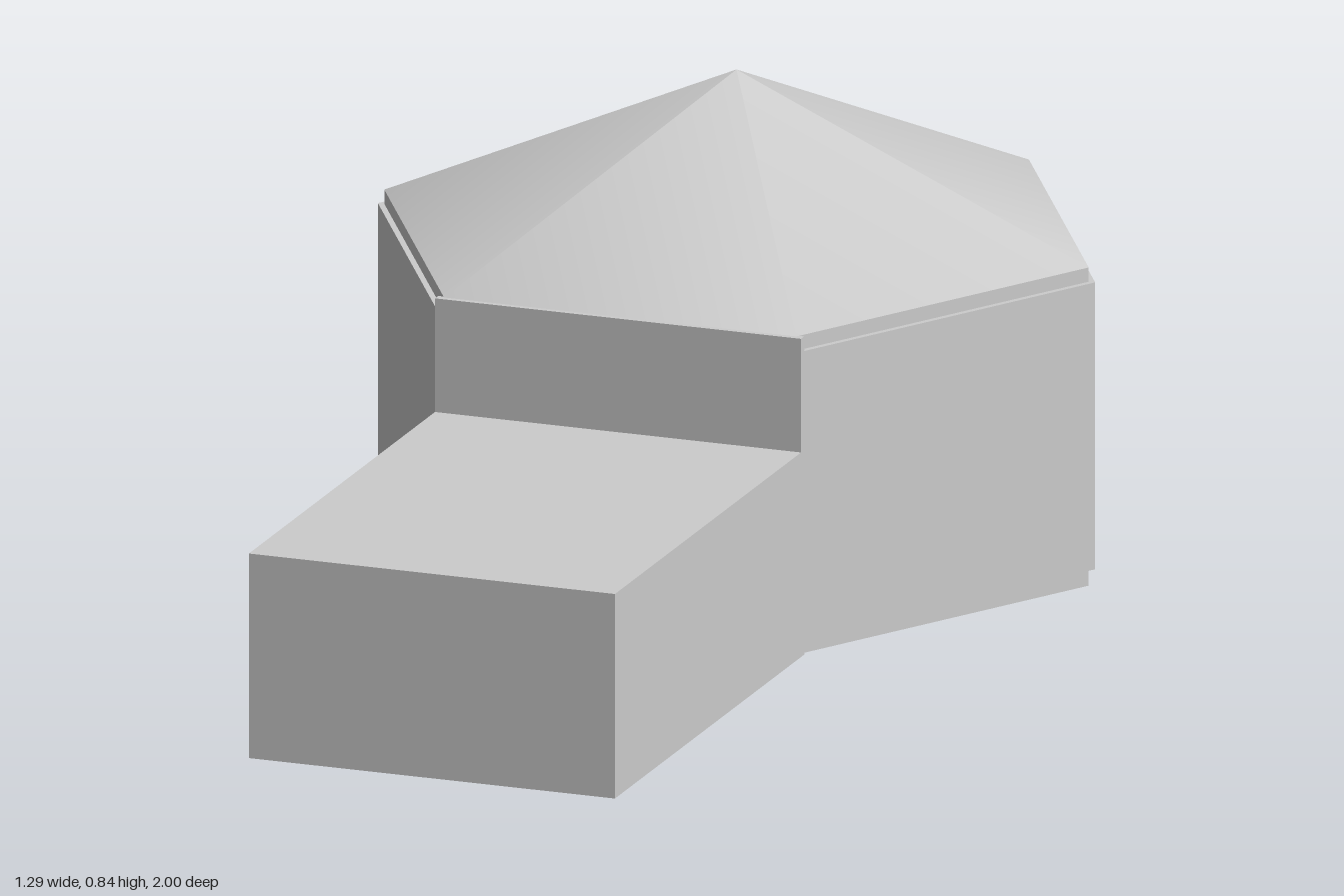
import * as THREE from 'three';

const CENTRE_Z = -0.44;

export function createModel() {
  const group = new THREE.Group();
  const flat = new THREE.MeshStandardMaterial({ color: 0xcccccc, flatShading: true });
  const smooth = new THREE.MeshStandardMaterial({ color: 0xcccccc });

  const add = (name, geometry, material, x, y, z) => {
    const mesh = new THREE.Mesh(geometry, material);
    mesh.name = name;
    mesh.position.set(x, y, z);
    group.add(mesh);
    return mesh;
  };

  // Upright six-sided prism with a flat side to the front
  const hexPrism = (name, radius, y0, y1) => {
    const geometry = new THREE.CylinderGeometry(radius, radius, y1 - y0, 6, 1, false, Math.PI / 6);
    add(name, geometry, flat, 0, (y0 + y1) / 2, CENTRE_Z);
  };

  // Box given by its half width and its y and z ranges
  const block = (name, halfWidth, y0, y1, z0, z1) => {
    const geometry = new THREE.BoxGeometry(halfWidth * 2, y1 - y0, z1 - z0);
    add(name, geometry, flat, 0, (y0 + y1) / 2, (z0 + z1) / 2);
  };

  // Hall core, shows as the plinth and the eaves band
  hexPrism('hallCore', 0.635, 0, 0.56);

  // Wall cladding, slightly proud of the core
  hexPrism('wallPanels', 0.6466, 0.03, 0.535);

  // Full-height panel where the annex meets the hall
  block('frontPanel', 0.33, 0, 0.56, 0.105, 0.12);

  // Low flat-roofed annex
  block('annex', 0.33, 0, 0.36, 0.11, 1);

  // Six-sided pointed roof with softly blended faces
  const roof = new THREE.ConeGeometry(0.635, 0.28, 6, 1, true, Math.PI / 6);
  add('roof', roof, smooth, 0, 0.7, CENTRE_Z);

  return group;
}
